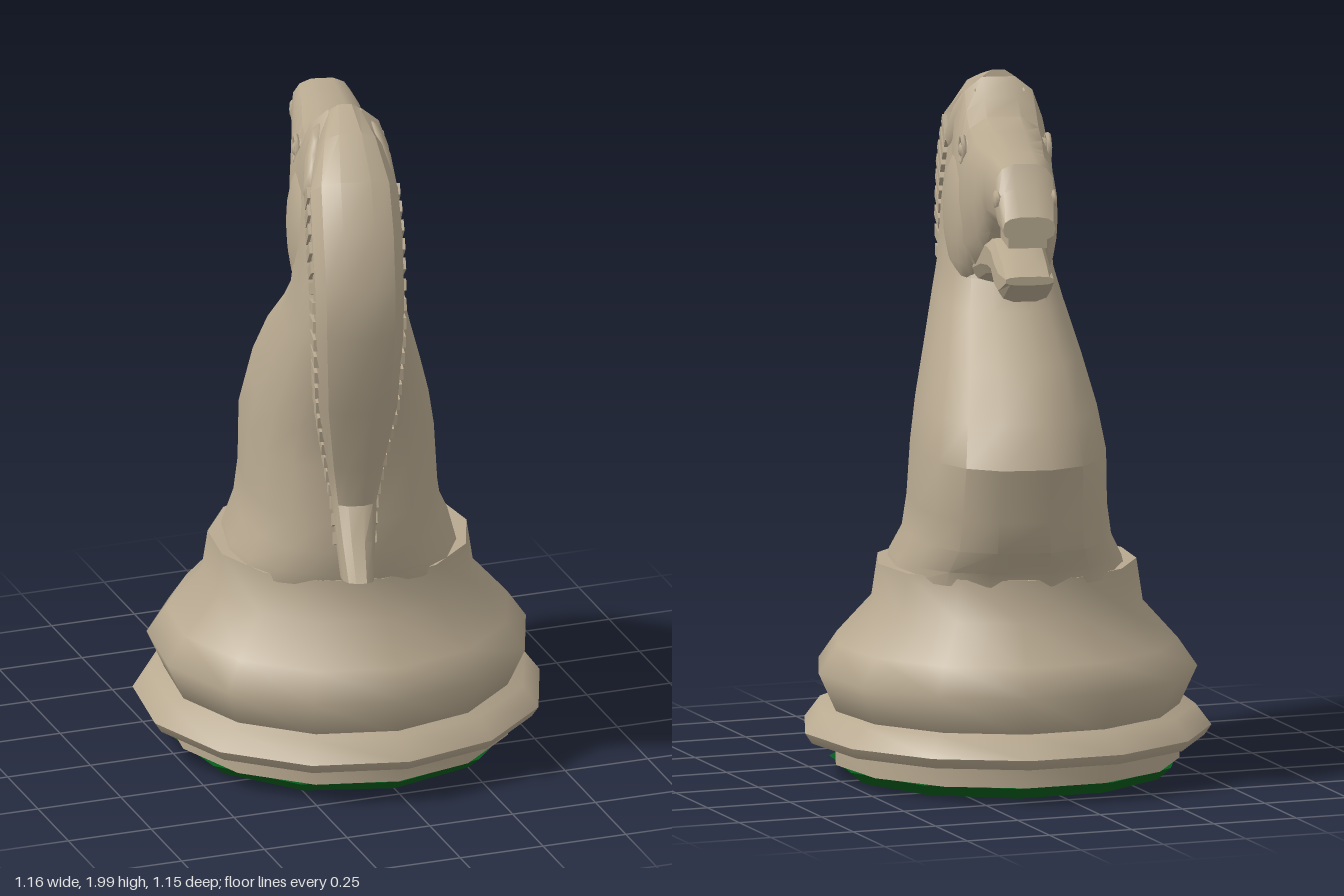
import * as THREE from 'three';
import { toCreasedNormals } from 'three/addons/utils/BufferGeometryUtils.js';

const ivory = new THREE.MeshStandardMaterial({ color: 0xb8a990 });
ivory.name = 'ivory';
const felt = new THREE.MeshStandardMaterial({ color: 0x055e1c });
felt.name = 'green felt';

function part(name, geometry, material = ivory) {
  const mesh = new THREE.Mesh(geometry, material);
  mesh.name = name;
  return mesh;
}

// Skin over rings: each section is a centre c, half axes u and v (progress along u x v)
function loft(sections, sides, power, crease = 0.5) {
  const pos = [], index = [];
  const curve = (t) => Math.sign(t) * Math.pow(Math.abs(t), power);
  for (const { c, u, v } of sections) {
    for (let j = 0; j < sides; j++) {
      const a = ((j + 0.5) / sides) * Math.PI * 2;
      const p = c.clone().addScaledVector(u, curve(Math.cos(a))).addScaledVector(v, curve(Math.sin(a)));
      pos.push(p.x, p.y, p.z);
    }
  }
  const last = sections.length - 1;
  for (let i = 0; i < last; i++) {
    for (let j = 0; j < sides; j++) {
      const k = (j + 1) % sides, a = i * sides, b = a + sides;
      index.push(a + j, a + k, b + k, a + j, b + k, b + j);
    }
  }
  // end caps
  const c0 = sections[0].c, c1 = sections[last].c, n = pos.length / 3;
  pos.push(c0.x, c0.y, c0.z, c1.x, c1.y, c1.z);
  for (let j = 0; j < sides; j++) {
    const k = (j + 1) % sides;
    index.push(n, k, j, n + 1, last * sides + j, last * sides + k);
  }
  const g = new THREE.BufferGeometry();
  g.setAttribute('position', new THREE.Float32BufferAttribute(pos, 3));
  g.setIndex(index);
  return toCreasedNormals(g, crease);
}

const vec = (x, y, z) => new THREE.Vector3(x, y, z);

// Horizontal ring: height, front z, back z, half width
const level = ([y, front, back, w]) => ({
  c: vec(0, y, (front + back) / 2), u: vec(0, 0, (back - front) / 2), v: vec(w, 0, 0),
});
// Upright ring along the head: z, top, bottom, half width
const station = ([z, top, bottom, w]) => ({
  c: vec(0, (top + bottom) / 2, z), u: vec(0, (top - bottom) / 2, 0), v: vec(w, 0, 0),
});
// Ring across the mane: outer z, y, inner z, y, half width
const crest = ([oz, oy, iz, iy, w]) => ({
  c: vec(0, (oy + iy) / 2, (oz + iz) / 2), u: vec(0, (oy - iy) / 2, (oz - iz) / 2), v: vec(w, 0, 0),
});

function lathe(points, sides, crease = 0.6) {
  const g = new THREE.LatheGeometry(points.map(([r, y]) => new THREE.Vector2(r, y)), sides);
  return toCreasedNormals(g, crease);
}

export function createModel() {
  const model = new THREE.Group();
  model.name = 'chessKnight';

  // Turned base
  model.add(part('feltPad', lathe([[0, 0.008], [0.46, 0.01], [0.5, 0.045], [0, 0.047]], 11), felt));
  model.add(part('foot', lathe([[0, 0.045], [0.495, 0.045], [0.495, 0.12], [0, 0.12]], 13)));
  model.add(part('footRing', lathe([[0, 0.108], [0.565, 0.11], [0.585, 0.14], [0.54, 0.2], [0, 0.2]], 13, 1.2)));
  model.add(part('pedestal', lathe(
    [[0, 0.19], [0.49, 0.19], [0.545, 0.31], [0.49, 0.39], [0.39, 0.5], [0.372, 0.62], [0, 0.625]], 13, 1.2)));

  // Horse, turned slightly on its base
  const horse = new THREE.Group();
  horse.name = 'horse';
  horse.rotation.y = -0.24;
  model.add(horse);

  // Chest and neck
  horse.add(part('neck', loft([
    [0.6, -0.36, 0.36, 0.335], [0.64, -0.37, 0.37, 0.325], [0.71, -0.435, 0.38, 0.29], [0.8, -0.45, 0.38, 0.277],
    [0.96, -0.5, 0.37, 0.27], [1.08, -0.43, 0.39, 0.25], [1.22, -0.31, 0.44, 0.215], [1.35, -0.13, 0.48, 0.18],
    [1.43, -0.05, 0.5, 0.16], [1.6, 0, 0.5, 0.145], [1.75, 0.05, 0.43, 0.13], [1.87, 0.1, 0.35, 0.11],
  ].map(level), 16, 0.82, 0.7)));

  // Skull and muzzle
  horse.add(part('head', loft([
    [0.4, 1.84, 1.52, 0.09], [0.25, 1.94, 1.44, 0.125], [0.15, 1.985, 1.42, 0.135], [0.09, 1.935, 1.41, 0.138],
    [0.03, 1.89, 1.42, 0.138], [-0.08, 1.868, 1.45, 0.132], [-0.2, 1.855, 1.52, 0.115], [-0.27, 1.85, 1.59, 0.105],
    [-0.31, 1.847, 1.635, 0.1], [-0.43, 1.835, 1.645, 0.088], [-0.465, 1.77, 1.64, 0.085], [-0.54, 1.7, 1.63, 0.075],
  ].map(station), 14, 0.7, 0.6)));

  // Lower jaw and upper teeth
  horse.add(part('lowerJaw', loft([
    [0.05, 1.56, 1.4, 0.105], [-0.04, 1.58, 1.42, 0.1], [-0.15, 1.6, 1.455, 0.092], [-0.25, 1.6, 1.475, 0.085],
    [-0.29, 1.59, 1.475, 0.08], [-0.36, 1.575, 1.44, 0.08], [-0.44, 1.555, 1.437, 0.078], [-0.55, 1.53, 1.505, 0.07],
  ].map(station), 12, 0.65)));
  const teeth = part('upperTeeth', new THREE.BoxGeometry(0.11, 0.05, 0.18));
  teeth.position.set(0, 1.63, -0.42);
  horse.add(teeth);

  // Mane with its flicked-out tail end
  const maneRings = [
    [0.585, 0.7, 0.36, 0.64, 0.045], [0.5, 0.79, 0.34, 0.75, 0.055], [0.445, 0.88, 0.32, 0.88, 0.065],
    [0.465, 1.0, 0.34, 1.02, 0.085], [0.54, 1.2, 0.4, 1.22, 0.115], [0.59, 1.45, 0.44, 1.45, 0.128],
    [0.585, 1.6, 0.42, 1.57, 0.13], [0.525, 1.75, 0.36, 1.67, 0.132], [0.44, 1.875, 0.3, 1.75, 0.128],
    [0.3, 1.965, 0.2, 1.82, 0.095], [0.16, 2.0, 0.13, 1.86, 0.055],
  ];
  horse.add(part('mane', loft(maneRings.map(crest), 12, 0.8)));

  // Stepped locks set into both sides of the mane
  const edge = new THREE.CatmullRomCurve3(
    maneRings.slice(1, 9).map(([oz, oy, iz, iy, w]) => vec(w - 0.015, (oy + 2 * iy) / 3, (oz + 2 * iz) / 3)));
  const lockGeometry = new THREE.BoxGeometry(0.04, 0.034, 0.09);
  for (const side of [1, -1]) {
    const locks = new THREE.Group();
    locks.name = side > 0 ? 'leftManeLocks' : 'rightManeLocks';
    for (let i = 0; i < 22; i++) {
      const t = i / 21, p = edge.getPointAt(t), d = edge.getTangentAt(t);
      const lock = part('maneLock', lockGeometry);
      lock.position.set(side * p.x, p.y, p.z);
      lock.rotation.x = Math.atan2(d.z, d.y) - 0.15;
      locks.add(lock);
    }
    horse.add(locks);

    // Cheek
    const cheek = part('cheek', new THREE.SphereGeometry(1, 16, 10));
    cheek.scale.set(0.065, 0.205, 0.19);
    cheek.position.set(side * 0.095, 1.595, 0.11);
    horse.add(cheek);

    // Eye with raised lid
    const lid = part('eyelid', new THREE.TorusGeometry(0.038, 0.008, 6, 9));
    lid.rotation.y = Math.PI / 2;
    lid.position.set(side * 0.122, 1.8, 0);
    const eye = part('eye', new THREE.SphereGeometry(0.03, 10, 8));
    eye.position.set(side * 0.105, 1.8, 0);
    horse.add(lid, eye);

    // Nostril flare
    const nostril = part('nostril', new THREE.SphereGeometry(1, 8, 6));
    nostril.scale.set(0.012, 0.028, 0.04);
    nostril.position.set(side * 0.08, 1.735, -0.44);
    horse.add(nostril);

    // Ear folded back along the mane
    const ear = part('ear', new THREE.SphereGeometry(1, 8, 8));
    ear.scale.set(0.03, 0.055, 0.14);
    ear.position.set(side * 0.095, 1.85, 0.22);
    ear.rotation.set(0.8, side * 0.2, 0);
    horse.add(ear);
  }
  return model;
}
